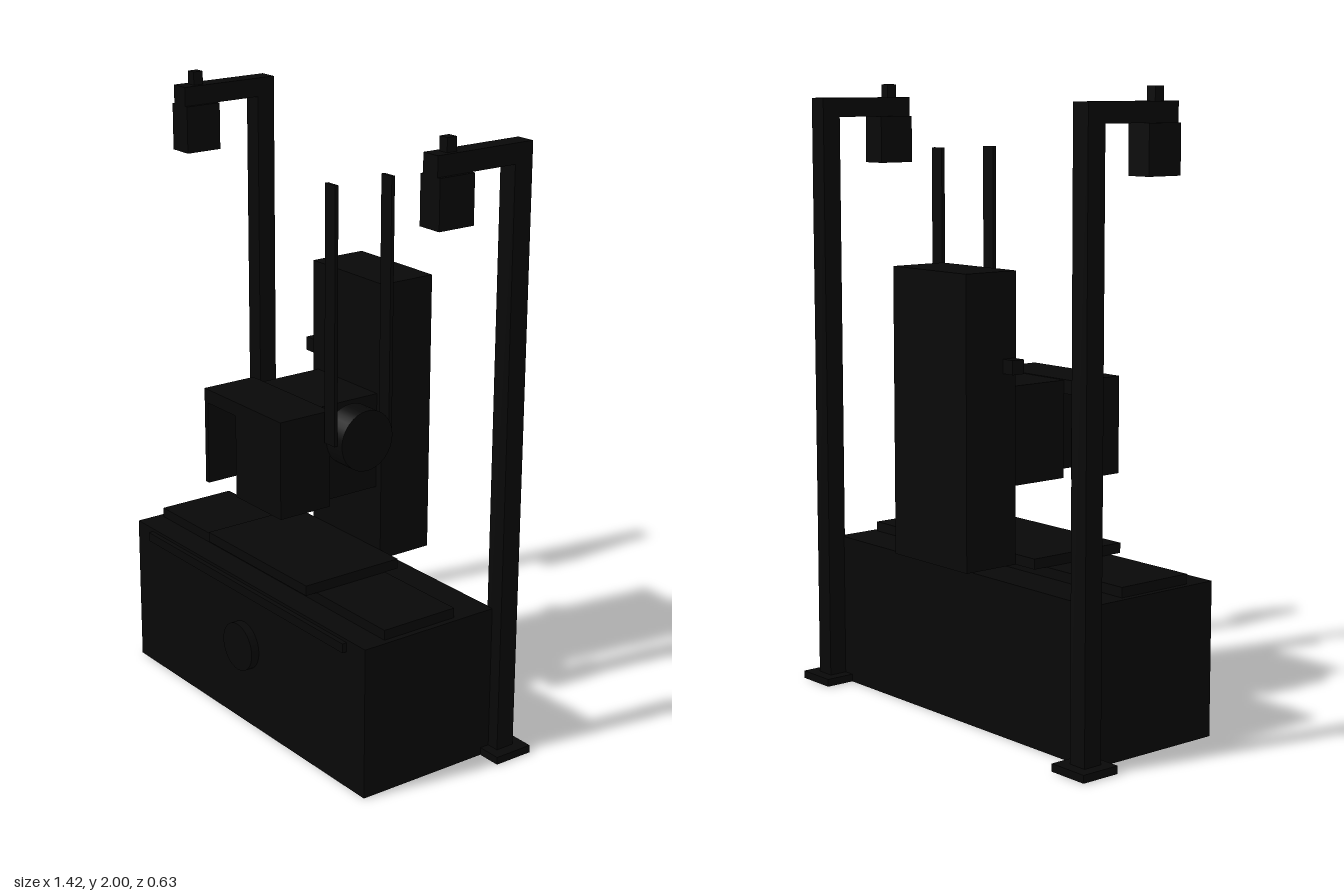
import * as THREE from 'three';

export function createModel() {
  const model = new THREE.Group();
  const black = new THREE.MeshStandardMaterial({ color: 0x080808 });
  black.name = 'black';

  const add = (name, geometry) => {
    const mesh = new THREE.Mesh(geometry, black);
    mesh.name = name;
    model.add(mesh);
    return mesh;
  };

  // Box given by its limits on each axis
  const box = (name, x0, x1, y0, y1, z0, z1) =>
    add(name, new THREE.BoxGeometry(x1 - x0, y1 - y0, z1 - z0))
      .position.set((x0 + x1) / 2, (y0 + y1) / 2, (z0 + z1) / 2);

  // Machine base with its table
  box('base', -0.63, 0.63, 0, 0.495, -0.21, 0.288);
  box('tableRail', -0.61, 0.61, 0.495, 0.527, -0.07, 0.2);
  box('tableTop', -0.27, 0.27, 0.527, 0.56, -0.12, 0.24);
  box('frontStrip', -0.54, 0.54, 0.455, 0.485, 0.288, 0.304);
  const dial = add('frontDial', new THREE.CylinderGeometry(0.08, 0.08, 0.028, 32));
  dial.rotation.x = Math.PI / 2;
  dial.position.set(0, 0.272, 0.302);

  // Upright column
  box('column', -0.18, 0.18, 0.527, 1.443, -0.315, -0.12);
  box('columnSwitch', -0.225, -0.18, 1.13, 1.175, -0.17, -0.125);

  // Head: body on the column, with an open-fronted hood
  box('headBody', -0.155, 0.155, 0.77, 1.083, -0.12, 0.1);
  box('hoodTop', -0.207, 0.205, 1.04, 1.085, 0.1, 0.288);
  box('hoodSide', -0.207, -0.19, 0.77, 1.04, 0.1, 0.288);
  box('headBlock', -0.035, 0.205, 0.77, 1.04, 0.1, 0.288);

  // Pulley, its axle and the two straps
  const pulley = add('pulley', new THREE.CylinderGeometry(0.098, 0.098, 0.085, 32));
  pulley.rotation.z = Math.PI / 2;
  pulley.position.set(0.242, 0.992, 0.017);
  const axle = add('pulleyAxle', new THREE.CylinderGeometry(0.018, 0.018, 0.05, 16));
  axle.rotation.z = Math.PI / 2;
  axle.position.set(0.178, 0.992, 0.017);
  for (const z of [-0.088, 0.123])
    box('strap', 0.215, 0.265, 0.99, 1.803, z - 0.006, z + 0.006);

  // Lamp posts on both sides
  for (const s of [-1, 1]) {
    const part = (name, x, w, y0, y1, z0, z1) =>
      box(name, s * x - w / 2, s * x + w / 2, y0, y1, z0, z1);
    part('postFoot', 0.64, 0.14, 0, 0.025, -0.31, -0.175);
    part('post', 0.64, 0.064, 0.025, 1.957, -0.272, -0.207);
    part('postArm', 0.64, 0.064, 1.895, 1.957, -0.207, 0.08);
    part('lamp', 0.64, 0.086, 1.742, 1.895, -0.047, 0.08);
    part('lampKnob', 0.64, 0.034, 1.957, 2, 0, 0.035);
  }

  return model;
}
